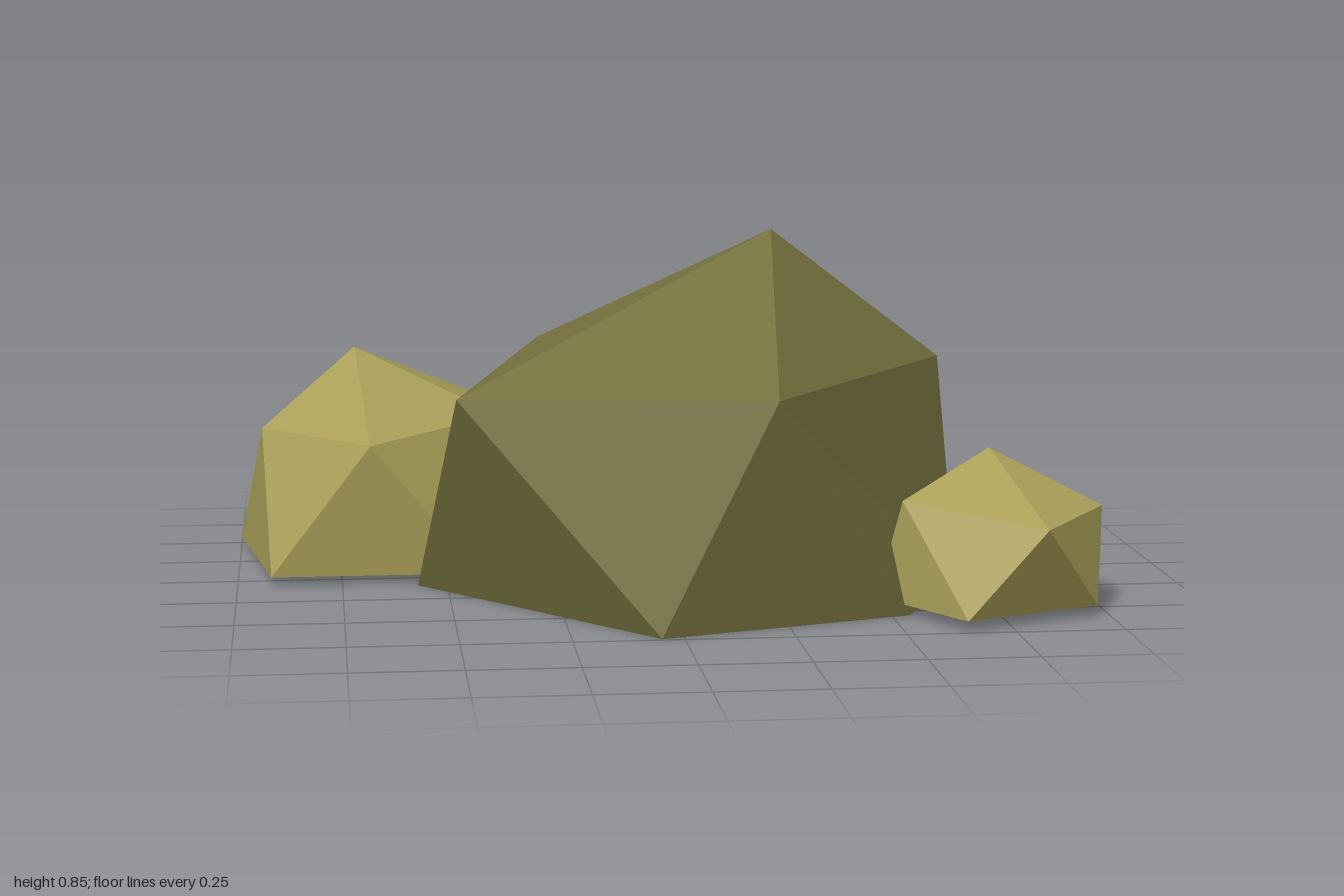
import * as THREE from 'three';

// Faceted open-bottomed boulder: a peak, an upper ring and a base ring.
// Rings run counter-clockwise from above; base[i] holds the [x, z] points between upper[i] and upper[i + 1].
function makeRock(name, material, { peak, upper, base, ground }) {
  const positions = [];
  const face = (...corners) => corners.forEach((c) => positions.push(...c));
  const feet = base.map((group) => group.map(([x, z]) => [x, ground, z]));
  const n = upper.length;

  for (let i = 0; i < n; i++) {
    const a = upper[i];
    const b = upper[(i + 1) % n];
    const foot = feet[i];
    const previous = feet[(i + n - 1) % n].at(-1);
    face(peak, a, b); // crown
    face(previous, foot[0], a); // wall triangle standing on the ground
    for (let k = 1; k < foot.length; k++) face(a, foot[k - 1], foot[k]);
    face(a, foot.at(-1), b); // wall triangle hanging from the upper ring
  }

  const geometry = new THREE.BufferGeometry();
  geometry.setAttribute('position', new THREE.Float32BufferAttribute(positions, 3));
  geometry.computeVertexNormals();
  const mesh = new THREE.Mesh(geometry, material);
  mesh.name = name;
  return mesh;
}

export function createModel() {
  const darkStone = new THREE.MeshStandardMaterial({ color: 0x75703e, flatShading: true, side: THREE.DoubleSide });
  darkStone.name = 'dark olive stone';
  const paleStone = new THREE.MeshStandardMaterial({ color: 0xaa9f58, flatShading: true, side: THREE.DoubleSide });
  paleStone.name = 'pale olive stone';

  const model = new THREE.Group();
  model.name = 'rockCluster';

  model.add(
    makeRock('largeRock', darkStone, {
      peak: [0.28, 0.85, 0.09],
      upper: [[0.7, 0.53, 0.02], [0.42, 0.53, -0.6], [-0.25, 0.54, -0.36], [-0.49, 0.5, 0.44], [0.21, 0.53, 0.74]],
      base: [[[0.8, -0.43]], [[-0.04, -0.7]], [[-0.57, 0.09]], [[-0.05, 0.74]], [[0.54, 0.55], [0.71, 0.25]]],
      ground: 0,
    }),
    makeRock('mediumRock', paleStone, {
      peak: [-0.71, 0.525, -0.33],
      upper: [[-0.36, 0.37, -0.18], [-0.32, 0.33, -0.65], [-0.77, 0.34, -0.71], [-0.94, 0.34, -0.22], [-0.68, 0.34, 0.09]],
      base: [[[-0.22, -0.47]], [[-0.62, -0.75]], [[-1, -0.48]], [[-0.92, 0.06]], [[-0.42, 0.06]]],
      ground: 0.02,
    }),
    makeRock('smallRock', paleStone, {
      peak: [0.75, 0.365, 0.41],
      upper: [[1, 0.24, 0.5], [0.93, 0.24, 0.28], [0.69, 0.24, 0.21], [0.53, 0.26, 0.51], [0.82, 0.23, 0.75]],
      base: [[[0.94, 0.3]], [[0.8, 0.22]], [[0.48, 0.46]], [[0.64, 0.745]], [[0.97, 0.6]]],
      ground: 0.025,
    }),
  );
  return model;
}
